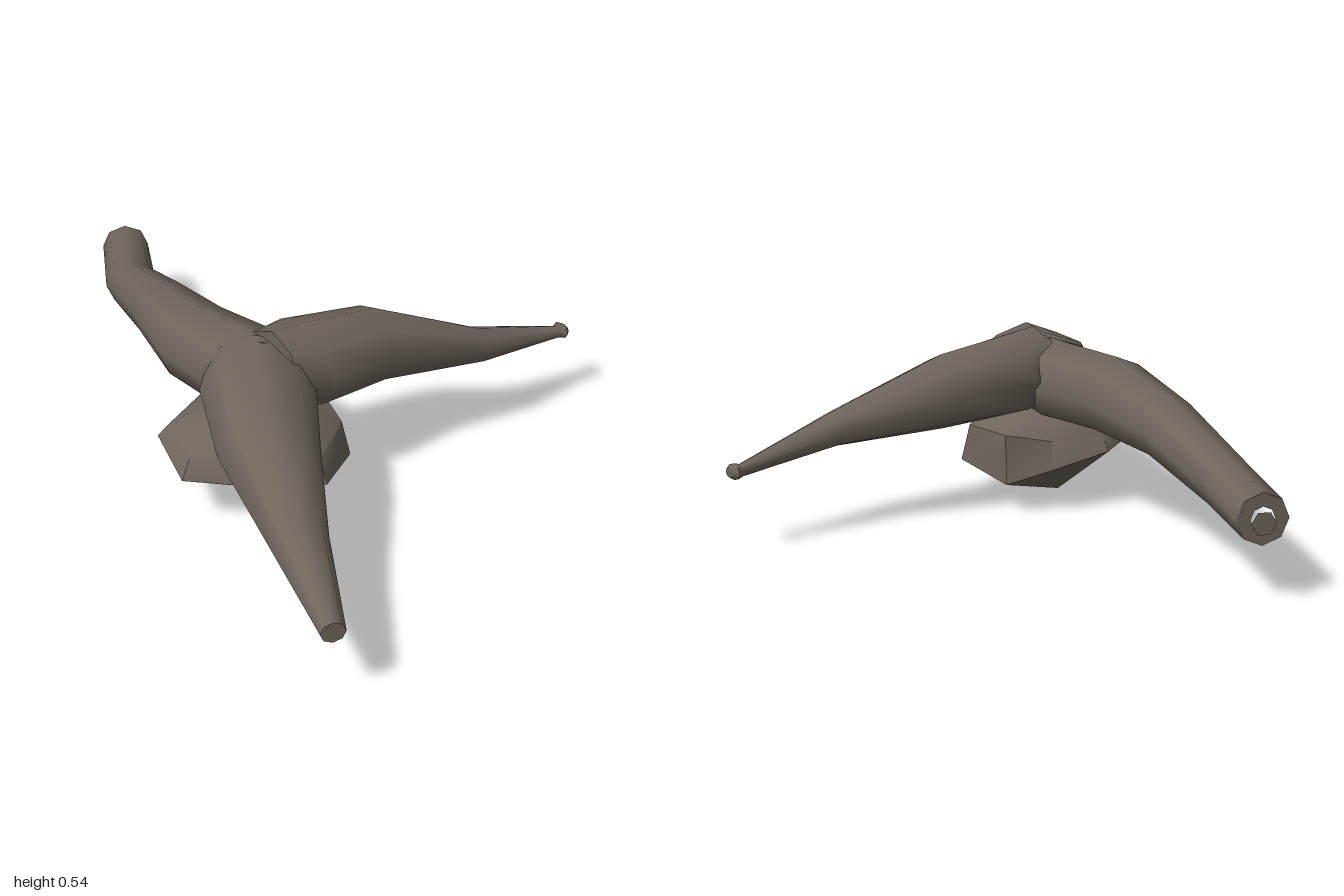
import * as THREE from 'three';
import { toCreasedNormals } from 'three/addons/utils/BufferGeometryUtils.js';

const V = (x, y, z) => new THREE.Vector3(x, y, z);
const SIDES = 8;

// Skins a stack of equal rings; optional centre points close the two ends.
function skin(rings, startCentre, endCentre, crease) {
  const n = rings[0].length, points = rings.flat(), index = [];
  for (let i = 0; i < rings.length - 1; i++) {
    for (let j = 0; j < n; j++) {
      const a = i * n + j, b = i * n + (j + 1) % n;
      index.push(a, a + n, b, b, a + n, b + n);
    }
  }
  const cap = (centre, base, flip) => {
    const c = points.push(centre) - 1;
    for (let j = 0; j < n; j++) {
      const a = base + j, b = base + (j + 1) % n;
      index.push(c, flip ? b : a, flip ? a : b);
    }
  };
  if (startCentre) cap(startCentre, 0, false);
  if (endCentre) cap(endCentre, (rings.length - 1) * n, true);
  const geo = new THREE.BufferGeometry().setFromPoints(points);
  geo.setIndex(index);
  return toCreasedNormals(geo, crease);
}

// Lofts upright elliptical sections [x, z, bottom, top, halfWidth] along a limb.
function limbGeometry(sections, closedTip) {
  const centres = sections.map(([x, z, lo, hi]) => V(x, (lo + hi) / 2, z));
  const rings = sections.map(([, , lo, hi, w], i) => {
    const from = centres[Math.max(i - 1, 0)], to = centres[Math.min(i + 1, centres.length - 1)];
    const dir = to.clone().sub(from).setY(0).normalize();
    const side = dir.cross(V(0, 1, 0));
    return Array.from({ length: SIDES }, (_, j) => {
      const a = j / SIDES * Math.PI * 2;
      return centres[i].clone().addScaledVector(side, Math.cos(a) * w)
        .add(V(0, Math.sin(a) * (hi - lo) / 2, 0));
    });
  });
  return skin(rings, centres[0], closedTip ? centres.at(-1) : null, 1.0);
}

export function createModel() {
  const group = new THREE.Group();
  const bark = new THREE.MeshStandardMaterial({ color: 0x6e655b });
  bark.name = 'greyBrownBark';
  const add = (name, geo) => {
    const mesh = new THREE.Mesh(geo, bark);
    mesh.name = name;
    group.add(mesh);
    return mesh;
  };

  // Three limbs, each running from the hub out to its tip
  add('backLimb', limbGeometry([
    [-0.24, 0.18, 0.27, 0.51, 0.13],
    [-0.21, 0.07, 0.25, 0.505, 0.145],
    [-0.19, -0.14, 0.24, 0.49, 0.13],
    [-0.075, -0.42, 0.23, 0.425, 0.1],
    [0.065, -0.71, 0.17, 0.325, 0.083],
    [0.26, -0.95, 0.16, 0.305, 0.077],
  ], false));
  add('leftLimb', limbGeometry([
    [-0.21, 0.2, 0.29, 0.54, 0.12],
    [-0.1, 0.215, 0.27, 0.53, 0.155],
    [0.15, 0.275, 0.265, 0.5, 0.122],
    [0.465, 0.43, 0.25, 0.36, 0.063],
    [0.795, 0.495, 0.215, 0.255, 0.02],
    [0.815, 0.5, 0.21, 0.26, 0.034],
    [0.83, 0.503, 0.22, 0.25, 0.02],
  ], true));
  add('rightLimb', limbGeometry([
    [-0.22, 0.14, 0.28, 0.51, 0.15],
    [-0.27, 0.2, 0.26, 0.51, 0.17],
    [-0.465, 0.43, 0.225, 0.485, 0.145],
    [-0.635, 0.7, 0.205, 0.355, 0.083],
    [-0.805, 0.975, 0.197, 0.26, 0.035],
  ], true));

  // Hollow end of the back limb with its loose core disc
  const axis = V(0.63, 0, -0.77);
  const face = (mesh, x, y, z) => {
    mesh.position.set(x, y, z);
    mesh.lookAt(mesh.position.clone().add(axis));
  };
  face(add('cutRing', new THREE.RingGeometry(0.035, 0.075, SIDES)), 0.26, 0.232, -0.95);
  face(add('coreDisc', new THREE.CircleGeometry(0.036, 6)), 0.295, 0.232, -0.975);

  // Pointed lump under the hub: lower rim, upper rim, and a low crown
  const rim = [
    [-0.535, 0.16, 0.15], [-0.45, 0.19, -0.04], [-0.2, 0.18, -0.11], [-0.03, 0.14, -0.02],
    [0.05, 0.09, 0.1], [-0.04, 0.11, 0.36], [-0.25, 0.15, 0.455], [-0.42, 0.16, 0.31],
  ].map((p) => V(...p));
  const crown = V(-0.23, 0.32, 0.16);
  const inset = (f, y) => rim.map((p) => p.clone().lerp(crown, f).setY(y));
  const shoulder = inset(0.1, 0.225);
  shoulder[4].set(0.055, 0.25, 0.1);
  add('baseLump', skin([rim, shoulder, inset(0.4, 0.28)], V(-0.265, 0, 0.14), crown, 0.7));

  return group;
}
